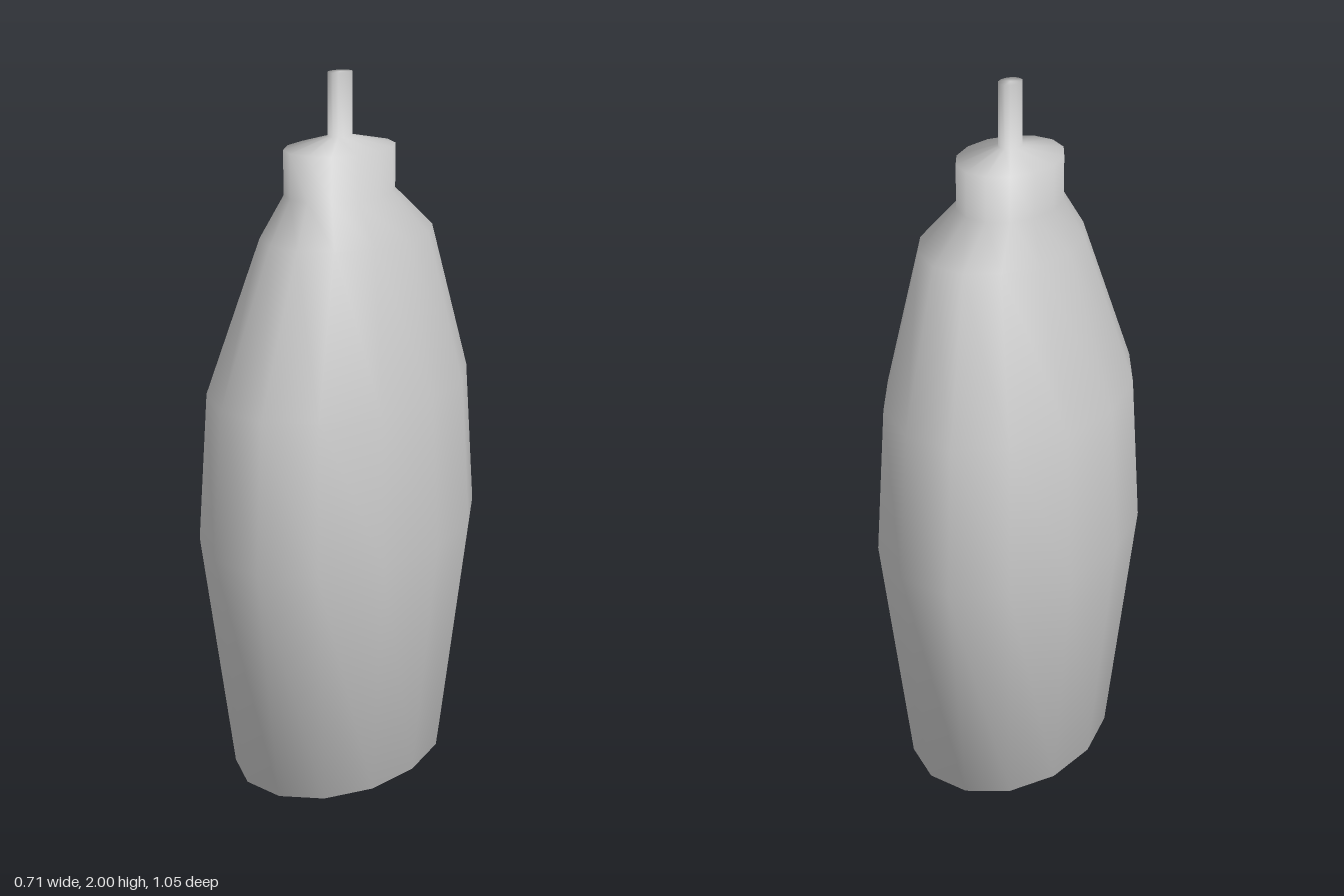
import * as THREE from 'three';
import { mergeVertices } from 'three/addons/utils/BufferGeometryUtils.js';

const SIDES = 14;
const FLATTEN = 0.692; // width of the oval section relative to its depth

// Oval turned shape with shared smooth normals. Rows: [depth radius, y, x shift]
function ovalLathe(rows) {
  const profile = rows.map(([r, y]) => new THREE.Vector2(r, y));
  const geometry = new THREE.LatheGeometry(profile, SIDES);
  const pos = geometry.attributes.position;
  for (let i = 0; i < pos.count; i++) {
    const shift = rows[i % rows.length][2] ?? 0;
    pos.setX(i, pos.getX(i) * FLATTEN + shift);
  }
  geometry.deleteAttribute('uv');
  geometry.deleteAttribute('normal');
  const merged = mergeVertices(geometry, 1e-4);
  merged.computeVertexNormals();
  return merged;
}

export function createModel() {
  const model = new THREE.Group();
  model.name = 'bottle';
  const material = new THREE.MeshStandardMaterial({ color: 0xcccccc });

  // Closed base, swelling body, slightly offset shoulder, collar and thin spout
  const bottle = new THREE.Mesh(ovalLathe([
    [0, 0],
    [0.408, 0],
    [0.527, 0.71],
    [0.492, 1.13],
    [0.32, 1.56, 0.023],
    [0.206, 1.67],
    [0.206, 1.795],
    [0.046, 1.825],
    [0.046, 2],
    [0, 2],
  ]), material);
  bottle.name = 'bottleBody';
  model.add(bottle);

  return model;
}
